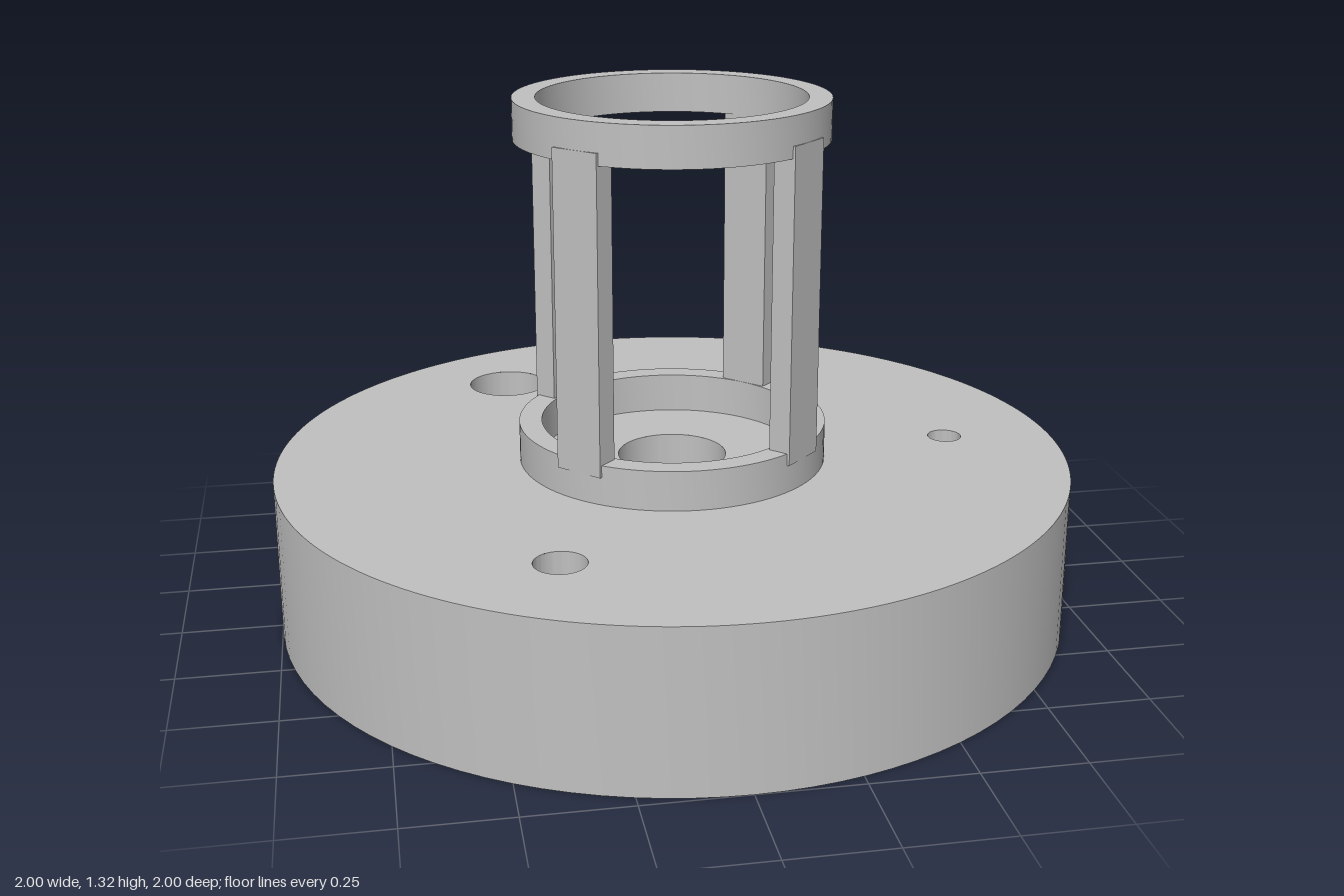
import * as THREE from 'three';
import { toCreasedNormals } from 'three/addons/utils/BufferGeometryUtils.js';

const SEGMENTS = 96;
const BASE_TOP = 0.4;
const FLOOR_UNDER = 0.24;

// through holes: x, z, radius
const HOLES = [
  [0, 0, 0.137],
  [0.725, 0, 0.043],
  [-0.3625, 0.628, 0.062],
  [-0.3625, -0.628, 0.105],
];

// revolved profile of [radius, y] points, counter-clockwise so faces point outward
function revolve(profile) {
  const points = profile.map(([r, y]) => new THREE.Vector2(r, y));
  return toCreasedNormals(new THREE.LatheGeometry(points, SEGMENTS), 0.5);
}

// flat horizontal disc pierced by the holes, facing up (+1) or down (-1)
function piercedDisc(radius, y, facing) {
  const shape = new THREE.Shape().absarc(0, 0, radius, 0, Math.PI * 2);
  for (const [x, z, r] of HOLES) {
    shape.holes.push(new THREE.Path().absarc(x, -facing * z, r, 0, Math.PI * 2, true));
  }
  const geometry = new THREE.ShapeGeometry(shape, SEGMENTS);
  return geometry.rotateX(-facing * Math.PI / 2).translate(0, y, 0);
}

export function createModel() {
  const model = new THREE.Group();
  model.name = 'flangedCage';
  const grey = new THREE.MeshStandardMaterial({ color: 0xc0c0c0 });
  grey.name = 'plain grey';

  const add = (name, geometry, parent = model) => {
    const mesh = new THREE.Mesh(geometry, grey);
    mesh.name = name;
    parent.add(mesh);
    return mesh;
  };

  // hollow round base with a chamfered lower lip
  const base = new THREE.Group();
  base.name = 'base';
  model.add(base);
  add('baseWall', revolve([
    [0.925, FLOOR_UNDER], [0.925, 0.03], [0.955, 0], [1, 0], [1, BASE_TOP],
  ]), base);
  add('baseTop', piercedDisc(1, BASE_TOP, 1), base);
  add('baseUnderside', piercedDisc(0.925, FLOOR_UNDER, -1), base);
  HOLES.forEach(([x, z, r], i) => {
    add('holeWall' + i, revolve([[r, BASE_TOP], [r, FLOOR_UNDER]]), base).position.set(x, 0, z);
  });

  // upper and lower rings of the cage
  const cage = new THREE.Group();
  cage.name = 'cage';
  model.add(cage);
  for (const [name, y] of [['lowerRing', BASE_TOP], ['upperRing', 1.22]]) {
    add(name, revolve([
      [0.33, y], [0.387, y], [0.387, y + 0.1], [0.33, y + 0.1], [0.33, y],
    ]), cage);
  }

  // four flat posts on the diagonals, let into both rings
  for (let i = 0; i < 4; i++) {
    const geometry = new THREE.BoxGeometry(0.127, 0.78, 0.057).translate(0, 0.86, 0.3595);
    add('post' + i, geometry, cage).rotation.y = Math.PI / 4 + i * Math.PI / 2;
  }

  return model;
}
